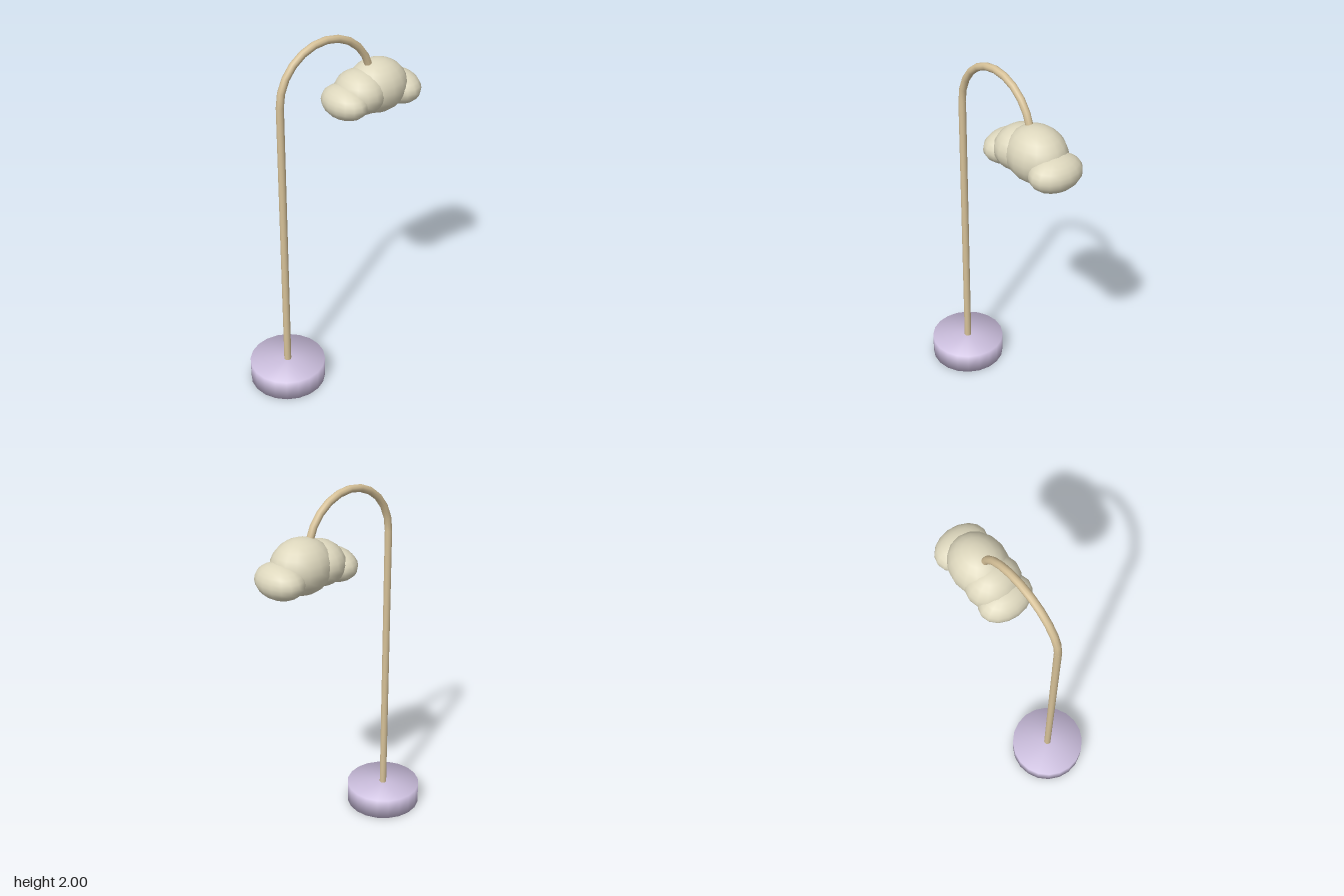
import * as THREE from 'three';
import { mergeVertices } from 'three/addons/utils/BufferGeometryUtils.js';

const mat = (name, color) => {
  const m = new THREE.MeshStandardMaterial({ color });
  m.name = name;
  return m;
};

// Weld all corners so shading flows softly over the edges
function weld(geometry) {
  geometry.deleteAttribute('uv');
  geometry.deleteAttribute('normal');
  const g = mergeVertices(geometry, 1e-4);
  g.computeVertexNormals();
  return g;
}

export function createModel() {
  const lilac = mat('lilac', 0xcbbedd);
  const brass = mat('pale brass', 0xd6c198);
  const cream = mat('cloud cream', 0xddd7bd);
  const lamp = new THREE.Group();
  lamp.name = 'cloudLamp';

  const add = (parent, name, geometry, material, x = 0, y = 0, z = 0) => {
    const mesh = new THREE.Mesh(geometry, material);
    mesh.name = name;
    mesh.position.set(x, y, z);
    parent.add(mesh);
    return mesh;
  };

  const poleX = -0.323, bendY = 1.7, bendR = 0.28;

  // Round foot
  add(lamp, 'base', weld(new THREE.CylinderGeometry(0.212, 0.212, 0.12, 20)), lilac, poleX, 0.06);

  // Upright pole
  add(lamp, 'pole', new THREE.CylinderGeometry(0.02, 0.02, bendY - 0.1, 12), brass, poleX, (bendY + 0.1) / 2);

  // Half-circle neck, its far end hidden in the shade
  add(lamp, 'neck', new THREE.TorusGeometry(bendR, 0.02, 10, 12, Math.PI), brass, poleX + bendR, bendY);

  // Cloud shade from overlapping puffs: name, x, y, radius x, radius y
  const shade = new THREE.Group();
  shade.name = 'cloudShade';
  lamp.add(shade);
  const puffs = [
    ['mainPuff', 0.28, 1.658, 0.17, 0.145],
    ['middlePuff', 0.168, 1.65, 0.13, 0.118],
    ['rightPuff', 0.072, 1.618, 0.107, 0.088],
    ['leftPuff', 0.42, 1.618, 0.11, 0.091],
  ];
  for (const [name, x, y, rx, ry] of puffs) {
    const puff = add(shade, name, new THREE.SphereGeometry(1, 16, 12), cream, x, y);
    puff.scale.set(rx, ry, 0.147);
  }
  return lamp;
}
